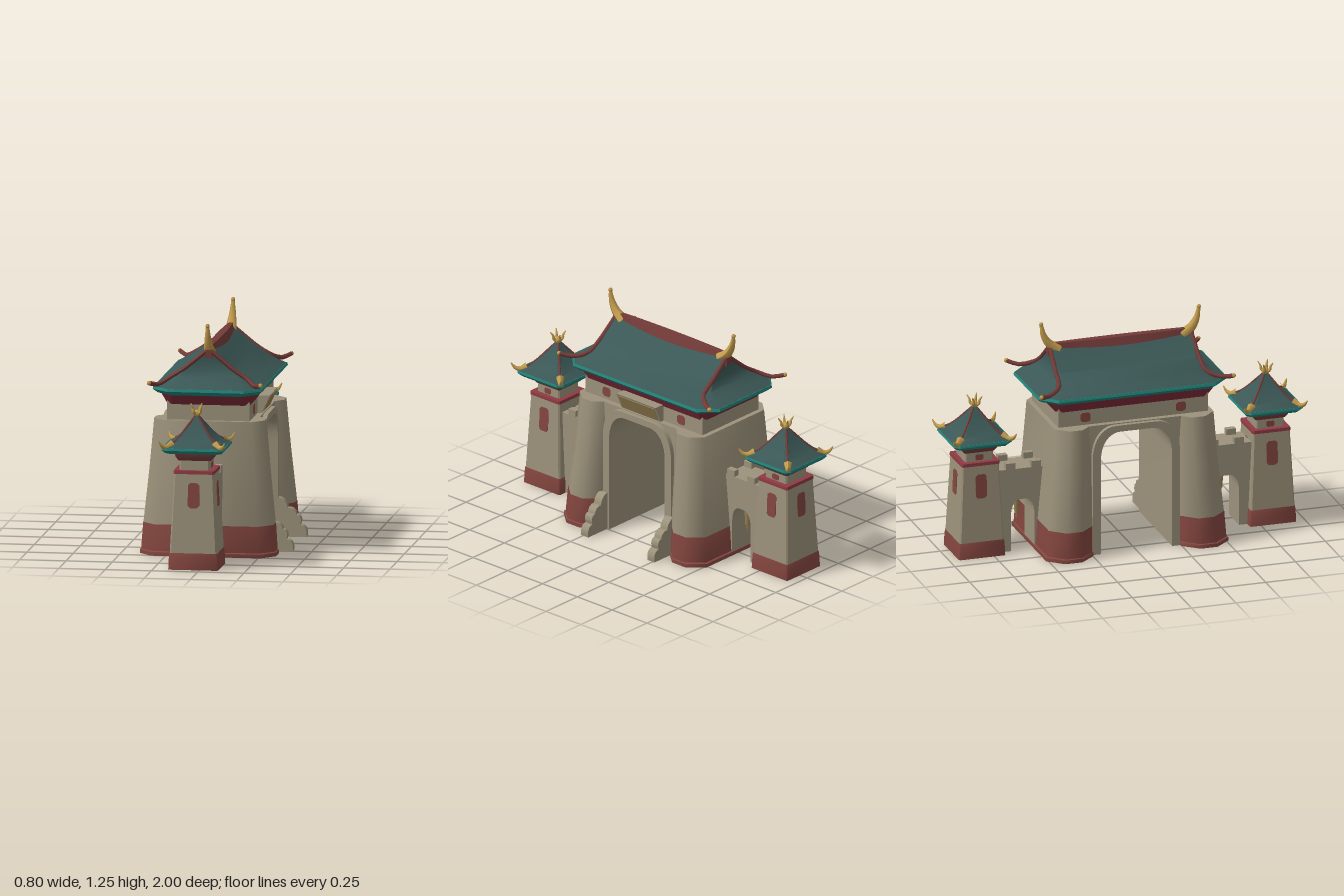
import * as THREE from 'three';
import { toCreasedNormals } from 'three/addons/utils/BufferGeometryUtils.js';

const mat = (name, color, side = THREE.FrontSide) => {
  const m = new THREE.MeshStandardMaterial({ color, side });
  m.name = name;
  return m;
};

// Octagonal outline: a rectangle with cut corners
const outline = (y, hx, hz, cx, cz = cx, z0 = 0) =>
  [[hx, hz - cz], [hx, cz - hz], [hx - cx, -hz], [cx - hx, -hz],
   [-hx, cz - hz], [-hx, hz - cz], [cx - hx, hz], [hx - cx, hz]].map(([x, z]) => [x, y, z + z0]);

// Skin stacked outlines from bottom to top
function loft(rings, { bottom = true, top = true, crease = 0.5 } = {}) {
  const pos = [], n = rings[0].length;
  const cap = (ring, up) => {
    const c = [0, 1, 2].map(k => ring.reduce((s, p) => s + p[k], 0) / n);
    ring.forEach((p, i) => {
      const q = ring[(i + 1) % n];
      pos.push(...c, ...(up ? p : q), ...(up ? q : p));
    });
  };
  for (let r = 0; r + 1 < rings.length; r++)
    for (let i = 0; i < n; i++) {
      const j = (i + 1) % n, a = rings[r], b = rings[r + 1];
      pos.push(...a[i], ...a[j], ...b[j], ...a[i], ...b[j], ...b[i]);
    }
  if (bottom) cap(rings[0], false);
  if (top) cap(rings[rings.length - 1], true);
  const g = new THREE.BufferGeometry();
  g.setAttribute('position', new THREE.Float32BufferAttribute(pos, 3));
  return toCreasedNormals(g, crease);
}

// Tube along points, tapering by the factor end
function tube(points, radius, end = 1) {
  const curve = new THREE.CatmullRomCurve3(points.map(p => new THREE.Vector3(...p)));
  const seg = 12, sides = 6;
  const g = new THREE.TubeGeometry(curve, seg, radius, sides);
  const p = g.attributes.position, v = new THREE.Vector3();
  for (let i = 0; i < p.count; i++) {
    const t = Math.floor(i / (sides + 1)) / seg, c = curve.getPointAt(t);
    v.fromBufferAttribute(p, i).sub(c).multiplyScalar(1 + (end - 1) * t).add(c);
    p.setXYZ(i, v.x, v.y, v.z);
  }
  g.computeVertexNormals();
  return g;
}

// Extrude an (x, y) shape along z, centred
function slab(shape, halfDepth) {
  const g = new THREE.ExtrudeGeometry(shape, { depth: 2 * halfDepth, bevelEnabled: false, curveSegments: 10 });
  return toCreasedNormals(g.translate(0, 0, -halfDepth), 0.5);
}
const crossSlab = (shape, halfDepth) => slab(shape, halfDepth).rotateY(Math.PI / 2);

// Wall with an arched gap open at the ground; foot and top give its half widths
function archedWall(foot, top, H, w, h, rx, ry) {
  const s = new THREE.Shape();
  s.moveTo(foot, 0);
  s.lineTo(top, H);
  s.lineTo(-top, H);
  s.lineTo(-foot, 0);
  s.lineTo(-w, 0);
  s.lineTo(-w, h - ry);
  s.bezierCurveTo(-w, h - ry * 0.4, -w + rx * 0.4, h, -w + rx, h);
  s.lineTo(w - rx, h);
  s.bezierCurveTo(w - rx * 0.4, h, w, h - ry * 0.4, w, h - ry);
  s.lineTo(w, 0);
  return s;
}

// Arch surround of even thickness
function archFrame() {
  const s = new THREE.Shape();
  s.moveTo(0.245, 0);
  s.lineTo(0.245, 0.54);
  s.bezierCurveTo(0.245, 0.648, 0.193, 0.72, 0.115, 0.72);
  s.lineTo(-0.115, 0.72);
  s.bezierCurveTo(-0.193, 0.72, -0.245, 0.648, -0.245, 0.54);
  s.lineTo(-0.245, 0);
  s.lineTo(-0.2, 0);
  s.lineTo(-0.2, 0.53);
  s.bezierCurveTo(-0.2, 0.63, -0.15, 0.685, -0.09, 0.685);
  s.lineTo(0.09, 0.685);
  s.bezierCurveTo(0.15, 0.685, 0.2, 0.63, 0.2, 0.53);
  s.lineTo(0.2, 0);
  return s;
}

// Window plate facing +z with clipped corners
function windowPlate(w, h) {
  const c = Math.min(w, h) * 0.2, x = w / 2, y = h / 2;
  const s = new THREE.Shape([[x, y - c], [x - c, y], [c - x, y], [-x, y - c], [-x, c - y], [c - x, -y], [x - c, -y], [x, c - y]]
    .map(p => new THREE.Vector2(...p)));
  return slab(s, 0.003);
}

export function createModel() {
  const stone = mat('stone', 0x9c927b), red = mat('red paint', 0x84463f, THREE.DoubleSide);
  const crimson = mat('crimson eave', 0x7c2a38), bandRed = mat('band red', 0x8e3a42);
  const roofGreen = mat('roof green', 0x3b5856), teal = mat('teal trim', 0x23857a);
  const gold = mat('gold', 0xc29c4c), ridgeRed = mat('ridge red', 0x733b38), bronze = mat('bronze', 0x968052);

  const model = new THREE.Group();
  model.name = 'gatehouse';
  model.position.x = -0.033;
  const add = (parent, name, geo, material, x = 0, y = 0, z = 0) => {
    const m = new THREE.Mesh(geo, material);
    m.name = name;
    m.position.set(x, y, z);
    parent.add(m);
    return m;
  };
  const box = (w, h, d) => new THREE.BoxGeometry(w, h, d);

  // Gate wall and arch surround
  add(model, 'gateWall', crossSlab(archedWall(0.262, 0.262, 0.725, 0.22, 0.7, 0.12, 0.18), 0.255), stone);
  add(model, 'archFrame', crossSlab(archFrame(), 0.28), stone);

  // Upper storey, crimson eave, teal fascia and main roof
  add(model, 'upperStorey', box(0.446, 0.12, 0.84), stone, 0, 0.77);
  add(model, 'eave', loft([outline(0.81, 0.224, 0.43, 0.03), outline(0.866, 0.252, 0.48, 0.06), outline(0.87, 0.272, 0.505, 0.085)]), crimson);
  add(model, 'fascia', loft([outline(0.87, 0.272, 0.505, 0.085), outline(0.892, 0.297, 0.532, 0.09), outline(0.906, 0.293, 0.528, 0.09)], { bottom: false }), teal);
  const roof = [[0.904, 0.294, 0.529, 0.09], [0.93, 0.25, 0.472, 0.07], [0.96, 0.2, 0.425, 0.04], [1.0, 0.14, 0.403, 0.02],
    [1.05, 0.075, 0.4, 0.01], [1.1, 0.018, 0.4, 0.005]];
  add(model, 'mainRoof', loft(roof.map(r => outline(...r))), roofGreen);

  // Ridge, swelling at mid length and narrower on top
  const ridge = new THREE.BoxGeometry(1, 0.065, 0.82, 1, 1, 12);
  const rp = ridge.attributes.position;
  for (let i = 0; i < rp.count; i++)
    rp.setX(i, rp.getX(i) * (0.085 - 0.045 * (rp.getZ(i) / 0.41) ** 2) * (rp.getY(i) > 0 ? 0.5 : 1.1));
  ridge.computeVertexNormals();
  add(model, 'ridge', ridge, ridgeRed, 0, 1.093);

  for (const s of [1, -1]) {
    add(model, 'ridgeFinial', tube([[0, 1.085, s * 0.35], [0, 1.125, s * 0.4], [0, 1.175, s * 0.43], [0, 1.25, s * 0.445]], 0.034, 0.2), gold);
    add(model, 'finialTip', new THREE.SphereGeometry(0.012, 8, 6), gold, 0, 1.238, s * 0.443);
    for (const sx of [1, -1]) {
      add(model, 'hipRib', tube([[sx * 0.01, 1.1, s * 0.397], [sx * 0.07, 1.05, s * 0.399], [sx * 0.135, 0.998, s * 0.402],
        [sx * 0.21, 0.951, s * 0.413], [sx * 0.26, 0.925, s * 0.485], [sx * 0.3, 0.938, s * 0.538]], 0.0125), ridgeRed);
      add(model, 'ribTip', new THREE.SphereGeometry(0.0125, 8, 6), gold, sx * 0.301, 0.939, s * 0.54);
      // Small upper windows
      add(model, 'upperWindow', windowPlate(0.055, 0.052), red, sx * 0.2225, 0.768, s * 0.268).rotation.y = sx * Math.PI / 2;
    }
  }

  // Wedge shaped sign board over the arch
  const wedge = new THREE.Shape([[0.2, 0.72], [0.243, 0.72], [0.288, 0.82], [0.2, 0.82]].map(p => new THREE.Vector2(...p)));
  add(model, 'signBoard', slab(wedge, 0.14), stone);
  add(model, 'signPanel', box(0.006, 0.088, 0.255), bronze, 0.266, 0.77).rotation.z = -0.423;

  // Outlines of the piers and of the scroll buttresses
  const pier = (y, hx, zIn, zOut) => {
    const hz = (zOut - zIn) / 2;
    return outline(y, hx, hz, hx * 0.2, hz * 0.64, (zIn + zOut) / 2);
  };
  const scroll = new THREE.Shape();
  scroll.moveTo(0.25, 0);
  scroll.lineTo(0.432, 0);
  scroll.bezierCurveTo(0.44, 0.045, 0.42, 0.065, 0.398, 0.065);
  scroll.bezierCurveTo(0.41, 0.1, 0.395, 0.12, 0.378, 0.118);
  scroll.bezierCurveTo(0.375, 0.15, 0.345, 0.16, 0.33, 0.155);
  scroll.bezierCurveTo(0.325, 0.2, 0.29, 0.22, 0.25, 0.21);

  for (const s of [1, -1]) {
    const side = new THREE.Group();
    side.name = s > 0 ? 'frontWing' : 'backWing';
    if (s < 0) side.rotation.y = Math.PI;
    model.add(side);

    // Pier with hollow painted base
    const open = { bottom: false, top: false, crease: 1 };
    add(side, 'pier', loft([pier(0.165, 0.351, 0.248, 0.492), pier(0.45, 0.322, 0.245, 0.465), pier(0.725, 0.298, 0.24, 0.447)], { crease: 1 }), stone);
    add(side, 'pierBase', loft([pier(0.022, 0.362, 0.25, 0.503), pier(0.167, 0.352, 0.248, 0.493)], open), red);
    add(side, 'pierFoot', loft([pier(0, 0.368, 0.247, 0.512), pier(0.02, 0.368, 0.247, 0.512), pier(0.025, 0.36, 0.25, 0.502)], open), red);

    // Scroll buttress beside the arch, on the +x face only
    add(model, 'scrollButtress', slab(scroll, 0.025), stone, 0, 0, s * 0.238);

    // Linking wall, merlons and hanging lantern
    add(side, 'linkWall', crossSlab(archedWall(0.112, 0.145, 0.465, 0.066, 0.29, 0.05, 0.09), 0.085), stone, 0, 0, 0.575);
    for (const z of [0.498, 0.642]) for (const x of [-0.068, 0.068])
      add(side, 'merlon', box(0.034, 0.045, 0.053), stone, x, 0.476, z);
    const lantern = new THREE.Group();
    lantern.name = 'lantern';
    lantern.position.set(0.03 * s, 0, 0.572);
    add(lantern, 'lanternCord', new THREE.CylinderGeometry(0.003, 0.003, 0.16, 6), bronze, 0, 0.22);
    add(lantern, 'lanternCap', new THREE.CylinderGeometry(0.007, 0.02, 0.018, 8), teal, 0, 0.272);
    add(lantern, 'lanternBody', new THREE.CylinderGeometry(0.018, 0.014, 0.08, 8), bronze, 0, 0.224);
    add(lantern, 'lanternTassel', new THREE.CylinderGeometry(0.009, 0.004, 0.045, 6), bronze, 0, 0.165);
    side.add(lantern);

    // Corner tower
    const tower = new THREE.Group();
    tower.name = 'tower';
    tower.position.z = 0.818;
    side.add(tower);
    const sq = (y, h, c = 0.008) => outline(y, h, h * 0.97, c);
    add(tower, 'towerBody', loft([sq(0.085, 0.128), sq(0.515, 0.107)]), stone);
    add(tower, 'towerBase', loft([sq(0, 0.135), sq(0.07, 0.132), sq(0.09, 0.129)], open), red);
    add(tower, 'towerBand', loft([sq(0.515, 0.11), sq(0.533, 0.109)]), bandRed);
    add(tower, 'towerNeck', loft([sq(0.53, 0.081), sq(0.59, 0.081)]), stone);
    add(tower, 'towerEave', loft([sq(0.585, 0.088), sq(0.605, 0.1), sq(0.632, 0.107)]), ridgeRed);
    add(tower, 'towerFascia', loft([sq(0.63, 0.152, 0.025), sq(0.648, 0.17, 0.028), sq(0.66, 0.168, 0.03)]), teal);
    add(tower, 'towerRoof', loft([sq(0.658, 0.168, 0.03), sq(0.685, 0.122, 0.024), sq(0.72, 0.085, 0.014),
      sq(0.77, 0.043, 0.006), sq(0.825, 0.008, 0.002)]), roofGreen);
    add(tower, 'finialKnob', new THREE.SphereGeometry(0.02, 8, 6), gold, 0, 0.828);

    for (let k = 0; k < 4; k++) {
      const face = new THREE.Group();
      face.name = 'towerFace';
      face.rotation.y = k * Math.PI / 2;
      tower.add(face);
      add(face, 'towerWindow', windowPlate(0.062, 0.135), red, 0, 0.4, k % 2 ? 0.1126 : 0.1092).rotation.x = -0.049;
      if (k % 2) add(face, 'neckWindow', windowPlate(0.045, 0.032), red, 0, 0.555, 0.081);
      add(face, 'towerRib', tube([[0, 0.824, 0], [0.04, 0.77, 0.039], [0.08, 0.717, 0.078], [0.112, 0.685, 0.109], [0.145, 0.667, 0.141]], 0.007), ridgeRed);
      add(face, 'cornerHorn', tube([[0.118, 0.678, 0.115], [0.142, 0.664, 0.14], [0.163, 0.672, 0.161], [0.179, 0.7, 0.178]], 0.024, 0.12), gold);
      add(face, 'finialProng', tube([[0, 0.82, 0], [0.021, 0.838, 0.012], [0.024, 0.855, 0.014], [0.036, 0.878, 0.024]], 0.013, 0.2), gold);
    }
  }
  return model;
}
